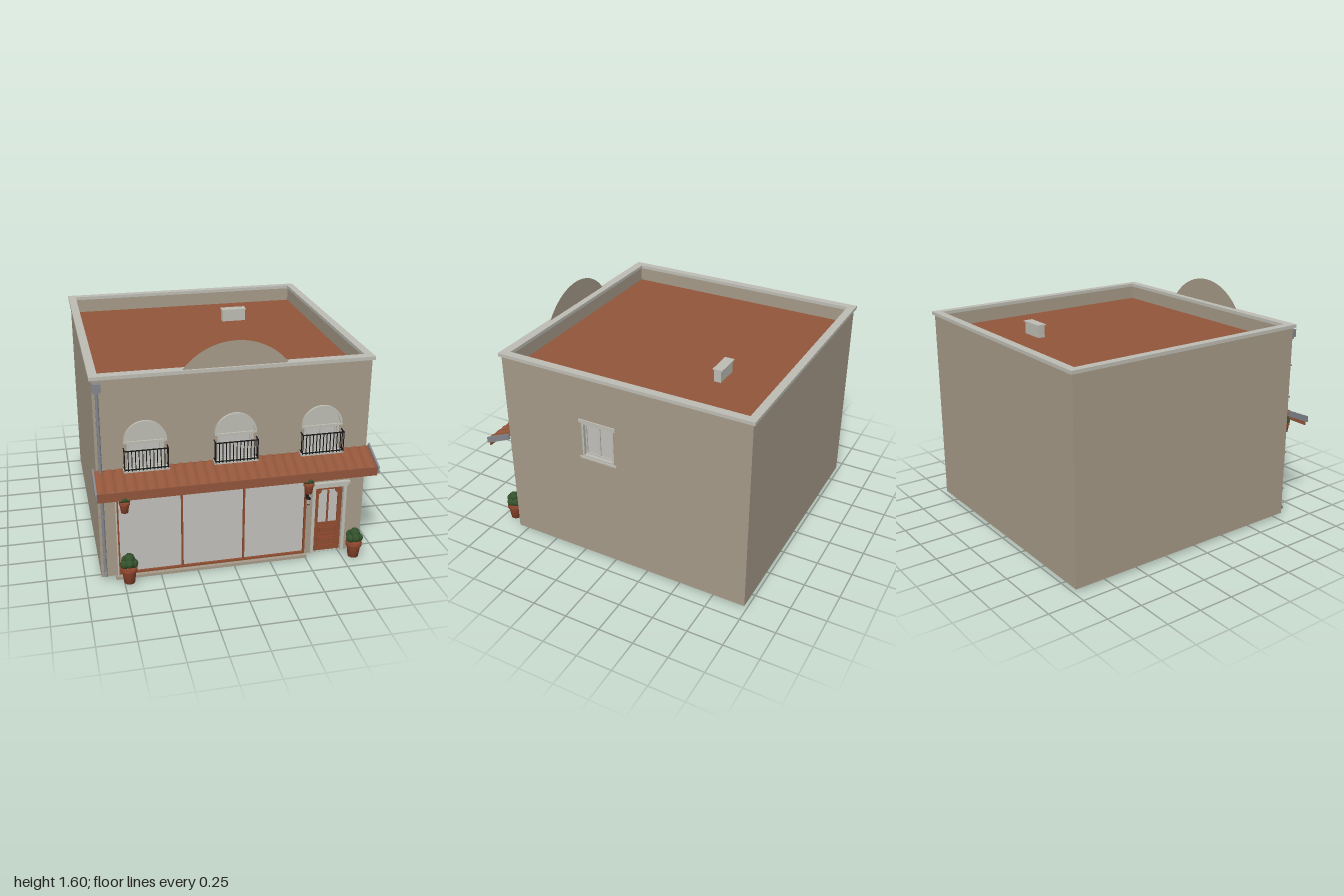
import * as THREE from 'three';

const mat = (name, color) => {
  const m = new THREE.MeshStandardMaterial({ color, side: THREE.DoubleSide });
  m.name = name;
  return m;
};

export function createModel() {
  const wall = mat('plaster', 0xa69a88), trim = mat('stoneTrim', 0xbdbdb4), glass = mat('paleGlass', 0xc1c0bb);
  const clay = mat('terracotta', 0x92563b), pot = mat('flowerPotClay', 0x93492f), wood = mat('doorWood', 0x8e4c30);
  const iron = mat('blackIron', 0x17181a), zinc = mat('zinc', 0x83868c), leaf = mat('leaves', 0x33522c);
  const root = new THREE.Group();
  root.name = 'shopHouse';

  const add = (name, geo, material, parent = root) => {
    const m = new THREE.Mesh(geo, material);
    m.name = name;
    parent.add(m);
    return m;
  };
  // Box given by its extents on each axis
  const box = (name, x0, x1, y0, y1, z0, z1, material, parent = root) => {
    const m = add(name, new THREE.BoxGeometry(x1 - x0, y1 - y0, z1 - z0), material, parent);
    m.position.set((x0 + x1) / 2, (y0 + y1) / 2, (z0 + z1) / 2);
    return m;
  };
  const rect = (x0, x1, y0, y1, S = THREE.Path) => {
    const p = new S();
    p.moveTo(x0, y0); p.lineTo(x1, y0); p.lineTo(x1, y1); p.lineTo(x0, y1); p.closePath();
    return p;
  };
  const extrude = (shape, depth) => new THREE.ExtrudeGeometry(shape, { depth, bevelEnabled: false, curveSegments: 20 });
  // Rectangular frame with an open middle
  const frame = (name, x0, x1, y0, y1, t, z0, z1, material, parent = root) => {
    const s = rect(x0, x1, y0, y1, THREE.Shape);
    s.holes.push(rect(x0 + t, x1 - t, y0 + t, y1 - t));
    const m = add(name, extrude(s, z1 - z0), material, parent);
    m.position.z = z0;
    return m;
  };
  const group = (name, x = 0, y = 0, z = 0) => {
    const g = new THREE.Group();
    g.name = name;
    g.position.set(x, y, z);
    root.add(g);
    return g;
  };

  const W = 0.895, F = 0.81, B = -0.985, Y0 = 0.02, Y1 = 1.41;
  const windowXs = [-0.58, 0, 0.575];

  // Front wall with curved crest and openings
  const front = new THREE.Shape();
  front.moveTo(-W, Y0); front.lineTo(W, Y0); front.lineTo(W, Y1); front.lineTo(0.354, Y1);
  const a = Math.asin((Y1 - 1.175) / 0.425);
  front.absarc(0, 1.175, 0.425, a, Math.PI - a, false);
  front.lineTo(-W, Y1);
  front.closePath();
  front.holes.push(rect(-0.775, 0.495, 0.025, 0.595), rect(0.555, 0.76, 0.022, 0.525));
  windowXs.forEach(x => front.holes.push(rect(x - 0.115, x + 0.115, 0.805, 0.985)));
  add('frontWall', new THREE.ShapeGeometry(front, 32), wall).position.z = F;

  // Remaining walls; the +x wall has a window opening
  const side = rect(-F, -B, Y0, Y1, THREE.Shape);
  add('rightWall', new THREE.ShapeGeometry(side), wall).position.x = -W;
  const sideOpen = rect(-F, -B, Y0, Y1, THREE.Shape);
  sideOpen.holes.push(rect(-0.205, 0.025, 0.82, 1.075));
  add('leftWall', new THREE.ShapeGeometry(sideOpen), wall).position.x = W;
  root.children.slice(-2).forEach(m => { m.rotation.y = Math.PI / 2; });
  const back = add('backWall', new THREE.PlaneGeometry(2 * W, Y1 - Y0), wall);
  back.position.set(0, (Y0 + Y1) / 2, B);
  back.rotation.y = Math.PI;

  // Parapet and its coping, both as extruded rings
  const ring = (name, x, zb, zf, xi, zbi, zfi, y, h, material) => {
    const s = rect(-x, x, -zf, -zb, THREE.Shape);
    s.holes.push(rect(-xi, xi, -zfi, -zbi));
    const m = add(name, extrude(s, h), material);
    m.rotation.x = -Math.PI / 2;
    m.position.y = y;
  };
  ring('parapet', W - 0.004, B + 0.004, F - 0.004, 0.86, -0.95, 0.77, 1.312, 0.098, wall);
  ring('coping', 0.91, -1, 0.825, 0.855, -0.945, 0.762, 1.41, 0.023, trim);
  const roof = add('roof', new THREE.PlaneGeometry(1.77, 1.77), clay);
  roof.rotation.x = -Math.PI / 2;
  roof.position.set(0, 1.31, -0.0875);
  box('roofVent', 0.21, 0.385, 1.31, 1.395, -0.535, -0.485, trim);
  box('roofVentLid', 0.205, 0.39, 1.395, 1.402, -0.545, -0.477, trim);

  // Arched upper windows with small iron balconies
  windowXs.forEach(x => {
    const g = group('balconyWindow', x);
    const half = r => { const s = new THREE.Shape(); s.absarc(0, 0.985, r, 0, Math.PI, false); s.closePath(); return s; };
    add('archPanel', extrude(half(0.125), 0.008), trim, g).position.z = F;
    const arch = half(0.138);
    arch.holes.push(half(0.122));
    add('archMoulding', extrude(arch, 0.018), trim, g).position.z = F;
    box('impost', -0.138, 0.138, 0.978, 0.99, F, F + 0.02, trim, g);
    frame('windowFrame', -0.118, 0.118, 0.8, 0.985, 0.015, F - 0.03, F + 0.008, trim, g);
    frame('windowSash', -0.103, 0.103, 0.815, 0.97, 0.009, F - 0.02, F - 0.004, trim, g);
    box('windowMullion', -0.006, 0.006, 0.815, 0.97, F - 0.02, F - 0.004, trim, g);
    box('windowPane', -0.103, 0.103, 0.815, 0.97, F - 0.018, F - 0.012, glass, g);
    box('balconySill', -0.145, 0.145, 0.793, 0.805, F, 0.862, trim, g);
    for (const y of [0.815, 0.943]) {
      box('frontRail', -0.14, 0.14, y - 0.003, y + 0.003, 0.861, 0.868, iron, g);
      for (const s of [-1, 1]) box('sideRail', s * 0.138 - 0.003, s * 0.138 + 0.003, y - 0.003, y + 0.003, F, 0.868, iron, g);
    }
    for (let i = 0; i <= 12; i++) {
      const bx = -0.138 + i * 0.023;
      box('baluster', bx - 0.0025, bx + 0.0025, 0.805, 0.943, 0.862, 0.867, iron, g);
    }
    for (const s of [-1, 1]) box('sideBaluster', s * 0.138 - 0.0025, s * 0.138 + 0.0025, 0.805, 0.943, 0.833, 0.838, iron, g);
  });

  // Side window, built facing +z and turned to +x
  const sw = group('sideWindow', W, 0, 0.09);
  sw.rotation.y = Math.PI / 2;
  frame('sideReveal', -0.12, 0.12, 0.815, 1.078, 0.014, -0.04, 0.003, trim, sw);
  frame('sideSash', -0.106, 0.106, 0.829, 1.064, 0.01, -0.035, -0.02, trim, sw);
  box('sideMullion', -0.006, 0.006, 0.83, 1.064, -0.035, -0.02, trim, sw);
  box('sidePane', -0.106, 0.106, 0.829, 1.064, -0.034, -0.028, glass, sw);
  box('sideHeader', -0.138, 0.138, 1.075, 1.1, -0.01, 0.008, trim, sw);
  box('sideSill', -0.138, 0.138, 0.804, 0.817, -0.01, 0.01, trim, sw);

  // Tiled awning: corrugated slope, fascia and end boards
  const tiles = new THREE.PlaneGeometry(1.82, 1, 28 * 8, 6);
  const p = tiles.attributes.position;
  for (let i = 0; i < p.count; i++) {
    const t = 0.5 - p.getY(i), u = (p.getX(i) / 1.82 + 0.5) * 28;
    p.setXYZ(i, p.getX(i), 0.796 - 0.072 * t + 0.012 * Math.abs(Math.sin(u * Math.PI)), 0.805 + 0.185 * t);
  }
  tiles.computeVertexNormals();
  add('awningTiles', tiles, clay);
  box('awningFascia', -0.91, 0.91, 0.67, 0.73, 0.98, 0.99, clay);
  box('awningWallStrip', -0.89, 0.89, 0.765, 0.8, 0.8, 0.815, clay);
  const end = new THREE.Shape();
  end.moveTo(-0.805, 0.775); end.lineTo(-1, 0.69); end.lineTo(-1, 0.735); end.lineTo(-0.805, 0.818); end.closePath();
  for (const x of [-0.92, 0.908]) {
    const m = add('awningEndBoard', extrude(end, 0.012), zinc);
    m.rotation.y = Math.PI / 2;
    m.position.x = x;
  }
  const brace = new THREE.Shape();
  brace.moveTo(-F, 0.6); brace.lineTo(-0.822, 0.6);
  brace.quadraticCurveTo(-0.832, 0.7, -0.93, 0.722);
  brace.lineTo(-0.93, 0.735); brace.lineTo(-F, 0.735); brace.closePath();
  for (const x of [-0.745, 0.455, 0.788]) {
    const m = add('awningBracket', extrude(brace, 0.01), clay);
    m.rotation.y = Math.PI / 2;
    m.position.x = x;
  }

  // Blank sign board under the awning
  box('signPanel', -0.29, 0.28, 0.64, 0.735, F, F + 0.008, trim);
  frame('signFrame', -0.3, 0.295, 0.627, 0.745, 0.014, F, F + 0.018, wood);

  // Shop window
  box('shopGlass', -0.77, 0.49, 0.03, 0.59, 0.79, 0.796, glass);
  frame('shopFrame', -0.778, 0.498, 0.024, 0.598, 0.012, 0.78, 0.814, wood);
  for (const x of [-0.35, 0.067]) box('shopMullion', x - 0.006, x + 0.006, 0.03, 0.59, 0.786, 0.81, wood);
  box('shopSideTrim', -0.786, -0.777, 0.02, 0.6, 0.8, 0.818, trim);
  box('shopSill', -0.8, 0.51, 0, 0.02, 0.785, 0.835, wall);

  // Door and its stone surround
  for (const x of [0.537, 0.755]) box('doorPilaster', x, x + 0.022, 0.02, 0.53, 0.77, 0.822, trim);
  box('doorLintel', 0.532, 0.783, 0.523, 0.548, 0.77, 0.828, trim);
  box('doorCornice', 0.523, 0.792, 0.546, 0.562, F, 0.838, trim);
  const door = rect(0.557, 0.757, 0.022, 0.523, THREE.Shape);
  const light = new THREE.Path();
  light.moveTo(0.59, 0.24); light.lineTo(0.725, 0.24); light.lineTo(0.725, 0.465);
  light.quadraticCurveTo(0.705, 0.465, 0.705, 0.493); light.lineTo(0.61, 0.493);
  light.quadraticCurveTo(0.61, 0.465, 0.59, 0.465); light.closePath();
  door.holes.push(light);
  add('door', extrude(door, 0.02), wood).position.z = 0.775;
  box('doorGlass', 0.58, 0.735, 0.23, 0.5, 0.78, 0.785, glass);
  box('doorBar', 0.652, 0.663, 0.24, 0.485, 0.783, 0.794, wood);
  for (const [y0, y1] of [[0.055, 0.13], [0.15, 0.215]]) {
    frame('doorPanelFrame', 0.59, 0.725, y0, y1, 0.008, 0.795, 0.801, pot);
    box('doorPanel', 0.605, 0.71, y0 + 0.015, y1 - 0.015, 0.795, 0.8, wood);
  }

  // Downpipe with hopper, straps and kicked-out foot
  const path = new THREE.CatmullRomCurve3([[1.34, 0.824], [1.2, 0.824], [0.6, 0.824], [0.1, 0.824], [0.07, 0.828], [0.04, 0.845]]
    .map(([y, z]) => new THREE.Vector3(-0.867, y, z)));
  add('downpipe', new THREE.TubeGeometry(path, 40, 0.011, 10), zinc);
  box('hopper', -0.893, -0.84, 1.34, 1.392, F, 0.845, zinc);
  box('hopperNeck', -0.883, -0.85, 1.325, 1.34, F, 0.838, zinc);
  for (const y of [0.2, 0.48, 0.9, 1.13]) box('pipeStrap', -0.882, -0.852, y, y + 0.01, F, 0.837, zinc);

  // Wall lantern
  const lamp = group('lantern', 0.497, 0, 0.852);
  add('lanternBody', new THREE.CylinderGeometry(0.014, 0.009, 0.04, 6), trim, lamp).position.y = 0.45;
  add('lanternCap', new THREE.ConeGeometry(0.019, 0.022, 6), iron, lamp).position.y = 0.481;
  add('lanternBase', new THREE.CylinderGeometry(0.01, 0.007, 0.008, 6), iron, lamp).position.y = 0.427;
  box('lanternArm', -0.003, 0.003, 0.486, 0.492, -0.042, 0, iron, lamp);
  box('lanternPlate', -0.008, 0.008, 0.455, 0.5, -0.042, -0.036, iron, lamp);

  // Potted plants: turned pot with a cluster of faceted leaf clumps
  const plant = (name, x, y, z, s) => {
    const g = group(name, x, y, z);
    g.scale.setScalar(s);
    const profile = [[0, 0], [0.036, 0], [0.047, 0.085], [0.054, 0.085], [0.055, 0.108], [0.046, 0.108], [0.044, 0.098], [0, 0.098]]
      .map(v => new THREE.Vector2(...v));
    add('pot', new THREE.LatheGeometry(profile, 16), pot, g);
    const clump = (cx, cy, cz, r) => add('leafClump', new THREE.IcosahedronGeometry(r, 1), leaf, g).position.set(cx, cy, cz);
    for (let i = 0; i < 5; i++) {
      const t = i * 1.257 + 0.3;
      clump(0.03 * Math.cos(t), 0.142 + 0.012 * (i % 2), 0.03 * Math.sin(t), 0.031);
    }
    clump(0.002, 0.178, 0.002, 0.036);
    return g;
  };
  plant('leftDoorPlant', 0.82, 0.02, 0.9, 1);
  plant('rightDoorPlant', -0.72, 0.02, 0.9, 1);
  for (const x of [-0.74, 0.457]) {
    plant('hangingPlant', x, 0.575, 0.96, 0.64);
    for (const s of [-1, 1]) {
      const wire = add('hangingWire', new THREE.CylinderGeometry(0.0015, 0.0015, 0.1, 5), iron);
      wire.position.set(x + s * 0.016, 0.685, 0.96);
      wire.rotation.z = s * 0.32;
    }
  }
  return root;
}
